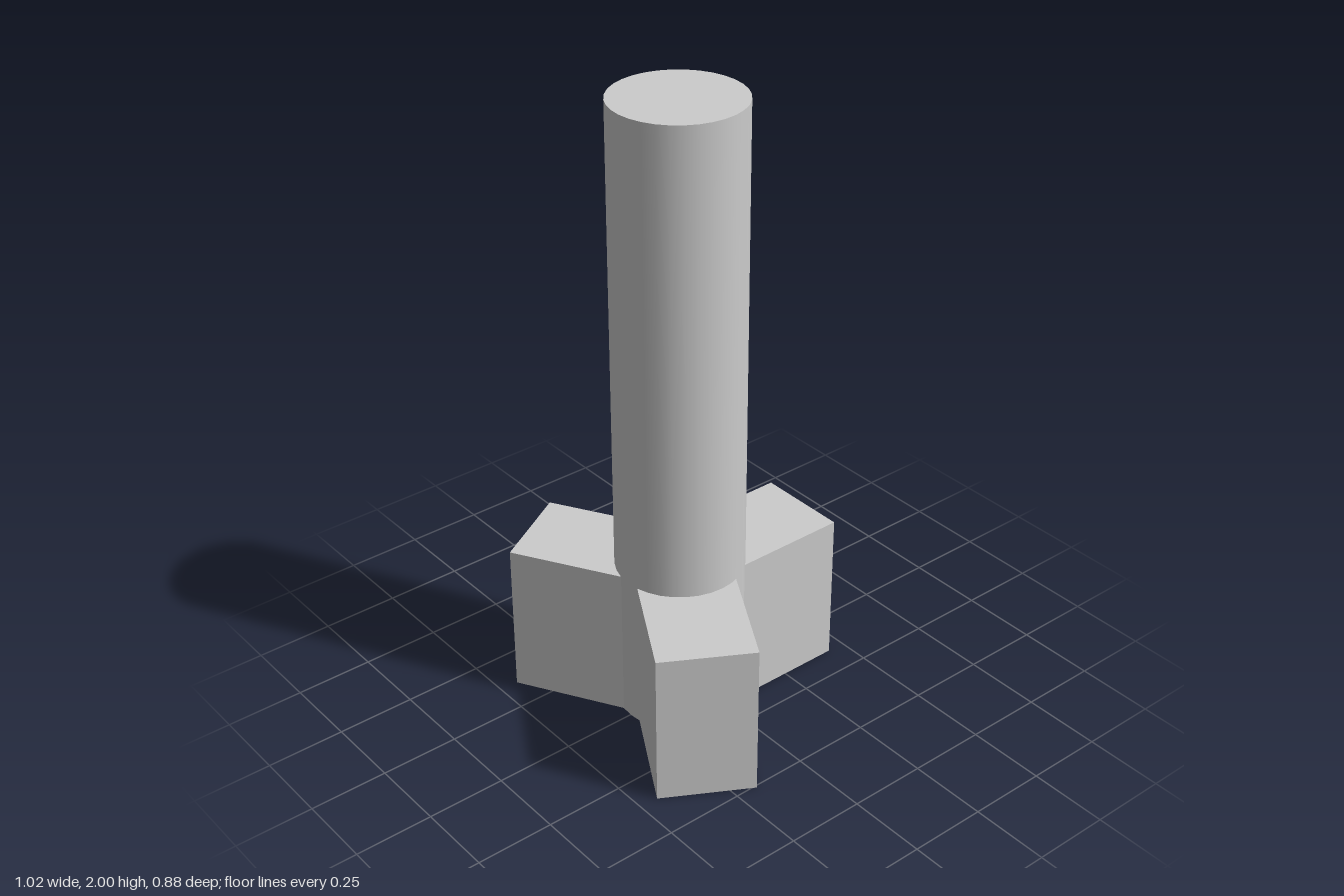
import * as THREE from 'three';

const SHAFT_RADIUS = 0.2;
const SHAFT_HEIGHT = 2;
const ARM_HALF_WIDTH = 0.15;
const ARM_REACH = 0.5;
const ARM_HEIGHT = 0.5;

// Block whose inner end is hollowed to fit around the shaft, pointing to -z
function armGeometry() {
  const r = SHAFT_RADIUS - 0.004;
  const a = Math.acos(ARM_HALF_WIDTH / r);
  const shape = new THREE.Shape();
  shape.moveTo(ARM_HALF_WIDTH, ARM_REACH);
  shape.lineTo(-ARM_HALF_WIDTH, ARM_REACH);
  shape.absarc(0, 0, r, Math.PI - a, a, true);
  shape.closePath();
  return new THREE.ExtrudeGeometry(shape, {
    depth: ARM_HEIGHT, bevelEnabled: false, curveSegments: 8,
  }).rotateX(-Math.PI / 2);
}

export function createModel() {
  const model = new THREE.Group();
  model.name = 'threeArmedShaft';
  const material = new THREE.MeshStandardMaterial({ color: 0xcccccc });

  // Round shaft running the full height
  const shaft = new THREE.Mesh(
    new THREE.CylinderGeometry(SHAFT_RADIUS, SHAFT_RADIUS, SHAFT_HEIGHT, 32), material);
  shaft.name = 'shaft';
  shaft.position.y = SHAFT_HEIGHT / 2;
  model.add(shaft);

  // Three equal arms around its foot
  const geometry = armGeometry();
  ['backArm', 'frontRightArm', 'frontLeftArm'].forEach((name, i) => {
    const arm = new THREE.Mesh(geometry, material);
    arm.name = name;
    arm.rotation.y = i * Math.PI * 2 / 3;
    model.add(arm);
  });

  // Shift so the footprint is centred front to back
  model.children.forEach((part) => { part.position.z = 0.06; });
  return model;
}
